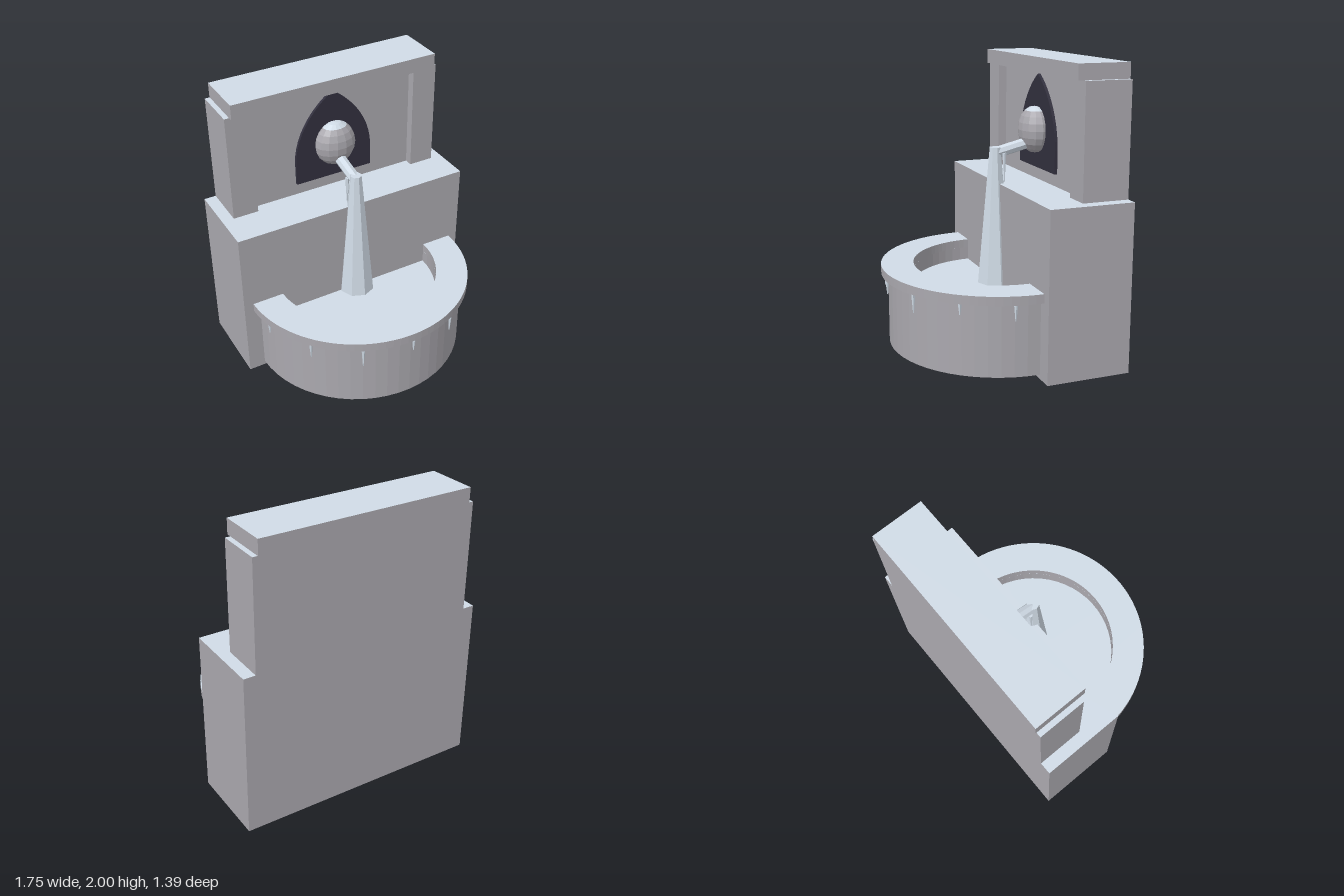
import * as THREE from 'three';

const stone = new THREE.MeshStandardMaterial({ color: 0xaaa8ae });
stone.name = 'stone';
stone.flatShading = true;
const ice = new THREE.MeshStandardMaterial({ color: 0xd0dbe6 });
ice.name = 'ice';
ice.flatShading = true;
const niche = new THREE.MeshStandardMaterial({ color: 0x32303e });
niche.name = 'dark niche';

// Groups the faces so that those looking up take the second material (frost)
function frostTops(source) {
  const geometry = source.index ? source.toNonIndexed() : source;
  geometry.clearGroups();
  const p = geometry.attributes.position;
  const tri = new THREE.Triangle();
  const normal = new THREE.Vector3();
  let start = 0;
  let current = 0;
  for (let i = 0; i < p.count; i += 3) {
    tri.setFromAttributeAndIndices(p, i, i + 1, i + 2);
    const frost = tri.getNormal(normal).y > 0.7 ? 1 : 0;
    if (frost !== current) {
      if (i > start) geometry.addGroup(start, i - start, current);
      start = i;
      current = frost;
    }
  }
  geometry.addGroup(start, p.count - start, current);
  return geometry;
}

export function createModel() {
  const group = new THREE.Group();
  group.name = 'frozenFountain';

  const add = (name, geometry, material, x = 0, y = 0, z = 0) => {
    const mesh = new THREE.Mesh(geometry, material);
    mesh.name = name;
    mesh.position.set(x, y, z);
    group.add(mesh);
    return mesh;
  };
  // Stone part with frost on its upward faces
  const addFrosted = (name, geometry, x, y, z) => add(name, frostTops(geometry), [stone, ice], x, y, z);
  // Box given by its lower and upper bounds
  const box = (name, x0, x1, y0, y1, z0, z1) =>
    addFrosted(name, new THREE.BoxGeometry(x1 - x0, y1 - y0, z1 - z0),
      (x0 + x1) / 2, (y0 + y1) / 2, (z0 + z1) / 2);
  // Icicle hanging down from its top point
  const icicle = (name, x, top, z, length, radius) =>
    add(name, new THREE.CylinderGeometry(radius, radius * 0.25, length, 5), ice, x, top - length / 2, z);

  // Wall
  box('wallBase', -0.873, 0.873, 0, 1.14, -0.69, -0.11);
  box('wallPanel', -0.61, 0.61, 1.14, 1.897, -0.69, -0.43);
  box('rightPillar', -0.79, -0.61, 1.14, 1.897, -0.69, -0.37);
  box('leftPillar', 0.61, 0.79, 1.14, 1.897, -0.69, -0.37);
  box('capStone', -0.755, 0.755, 1.897, 2, -0.695, -0.335);

  // Pointed arch niche
  const arch = new THREE.Shape();
  arch.moveTo(-0.29, 1.228);
  arch.lineTo(0.29, 1.228);
  arch.lineTo(0.29, 1.39);
  arch.bezierCurveTo(0.29, 1.58, 0.17, 1.77, 0, 1.875);
  arch.bezierCurveTo(-0.17, 1.77, -0.29, 1.58, -0.29, 1.39);
  add('archNiche', new THREE.ExtrudeGeometry(arch, { depth: 0.02, bevelEnabled: false, curveSegments: 10 }),
    niche, 0, 0, -0.43);

  // Round boss that carries the spout
  addFrosted('spoutBoss', new THREE.SphereGeometry(1, 14, 10).scale(0.148, 0.162, 0.11), 0, 1.495, -0.39);

  // Half-round hollow basin with a frozen floor
  const wallZ = -0.11;
  const profile = [[0, 0.03], [0.757, 0.03], [0.757, 0.526], [0.58, 0.526], [0.58, 0.435], [0, 0.435]]
    .map(([r, y]) => new THREE.Vector2(r, y));
  addFrosted('basin', new THREE.LatheGeometry(profile, 28, -Math.PI / 2, Math.PI), 0, 0, wallZ);
  const rim = new THREE.Shape();
  rim.absarc(0, 0, 0.805, Math.PI, 2 * Math.PI, false);
  rim.absarc(0, 0, 0.58, 2 * Math.PI, Math.PI, true);
  addFrosted('basinRim', new THREE.ExtrudeGeometry(rim, { depth: 0.061, bevelEnabled: false, curveSegments: 24 })
    .rotateX(-Math.PI / 2), 0, 0.526, wallZ);

  // Icicles round the rim, evenly spaced
  [0.08, 0.12, 0.15, 0.1, 0.13, 0.08, 0.11].forEach((length, i) => {
    const a = (i - 3) * Math.PI / 7;
    icicle('rimIcicle', 0.79 * Math.sin(a), 0.53, wallZ + 0.79 * Math.cos(a), length, 0.014);
  });

  // Frozen jet falling into the basin
  add('frozenJet', new THREE.CylinderGeometry(0.04, 0.126, 0.957, 8), ice, 0, 0.9085, -0.098);

  // Spout from the boss to the jet
  const from = new THREE.Vector3(0, 1.41, -0.36);
  const to = new THREE.Vector3(0, 1.35, -0.11);
  const dir = to.clone().sub(from);
  const spout = add('spout', new THREE.CylinderGeometry(0.04, 0.04, dir.length(), 8), ice);
  spout.position.copy(from).lerp(to, 0.5);
  spout.quaternion.setFromUnitVectors(new THREE.Vector3(0, 1, 0), dir.normalize());
  for (const side of [-1, 1]) icicle('spoutIcicle', side * 0.04, 1.35, -0.15, 0.2, 0.014);

  return group;
}
